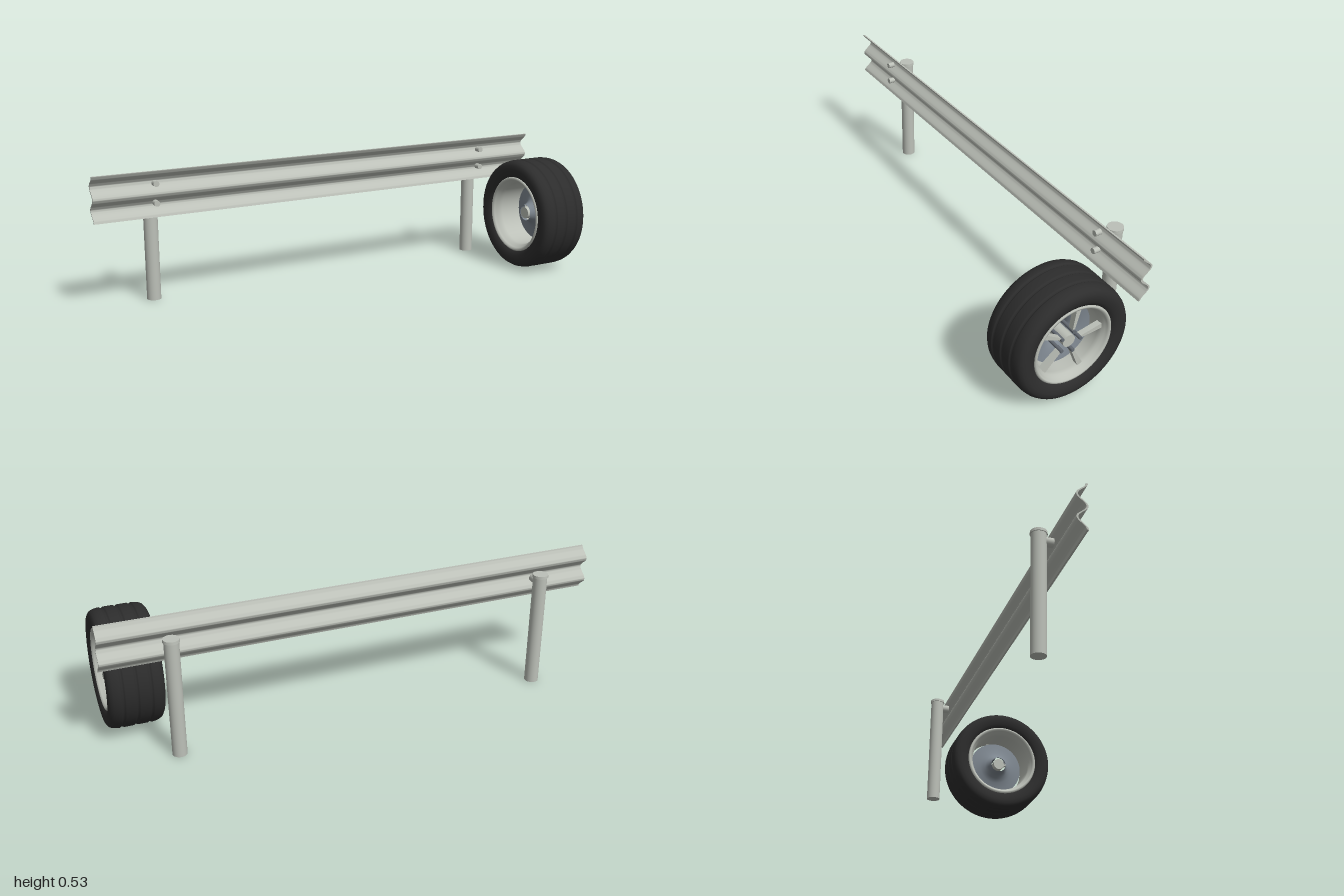
import * as THREE from 'three';
import { toCreasedNormals } from 'three/addons/utils/BufferGeometryUtils.js';

const material = (name, color, side = THREE.FrontSide) => {
  const m = new THREE.MeshStandardMaterial({ color, side });
  m.name = name;
  return m;
};

export function createModel() {
  const metal = material('galvanised grey', 0xbcc0b8, THREE.DoubleSide);
  const rubber = material('rubber black', 0x2d2d2d);
  const steel = material('blue grey steel', 0x7e8790, THREE.DoubleSide);
  const boltSteel = material('dark bolt steel', 0x646a72);

  const model = new THREE.Group();
  model.name = 'guardRailWithWheel';

  const add = (parent, name, geometry, mat, x = 0, y = 0, z = 0) => {
    const mesh = new THREE.Mesh(geometry, mat);
    mesh.name = name;
    mesh.position.set(x, y, z);
    parent.add(mesh);
    return mesh;
  };
  // Cylinder and lathe with their axis along z
  const rod = (r, length, sides = 24) =>
    new THREE.CylinderGeometry(r, r, length, sides).rotateX(Math.PI / 2);
  const lathe = (points, sides = 72) =>
    new THREE.LatheGeometry(points.map(([r, z]) => new THREE.Vector2(r, z)), sides).rotateX(Math.PI / 2);

  // Rail: wavy sheet swept along x
  const front = [], back = [];
  const steps = 48, bottom = 0.352, height = 0.181;
  for (let i = 0; i <= steps; i++) {
    const t = i / steps;
    const z = -0.1905 + 0.018 * Math.cos(t * Math.PI * 4);
    const y = bottom + height * t;
    front.push(new THREE.Vector2(-z, y));
    back.unshift(new THREE.Vector2(-z + 0.007, y));
  }
  const railGeometry = new THREE.ExtrudeGeometry(new THREE.Shape([...front, ...back]),
    { depth: 2, bevelEnabled: false, steps: 1 });
  railGeometry.rotateY(Math.PI / 2).translate(-1, 0, 0);
  add(model, 'rail', toCreasedNormals(railGeometry, 0.7), metal);

  // Posts with caps, spacers and rail bolts
  for (const x of [-0.754, 0.747]) {
    const support = new THREE.Group();
    support.name = x < 0 ? 'rightSupport' : 'leftSupport';
    support.position.x = x;
    model.add(support);
    add(support, 'post', new THREE.CylinderGeometry(0.028, 0.028, 0.47, 32), metal, 0, 0.235, -0.2625);
    add(support, 'postCap', new THREE.CylinderGeometry(0.0305, 0.0315, 0.011, 32), metal, 0, 0.473, -0.2625);
    add(support, 'spacer', rod(0.0175, 0.035), metal, 0, 0.443, -0.2275);
    for (const y of [0.4825, 0.4055])
      add(support, 'railBolt', rod(0.0115, 0.026), metal, 0, y, -0.181);
  }

  // Wheel: built along z, then turned to face +x
  const wheel = new THREE.Group();
  wheel.name = 'wheel';
  wheel.position.set(0.8655, 0.2335, 0.062);
  wheel.rotation.y = Math.PI / 2;
  model.add(wheel);

  // Tyre: rounded shoulders and three tread grooves
  const side = [[0.157, 0.085], [0.163, 0.096], [0.178, 0.104], [0.197, 0.108],
    [0.212, 0.106], [0.223, 0.099], [0.229, 0.088], [0.232, 0.075]];
  const tread = [];
  for (const z of [-0.053, 0, 0.053])
    tread.push([0.2335, z - 0.009], [0.231, z - 0.005], [0.2265, z], [0.231, z + 0.005], [0.2335, z + 0.009]);
  const tyre = [...side.map(([r, z]) => [r, -z]), ...tread, ...side.slice().reverse()];
  add(wheel, 'tyre', lathe(tyre, 96), rubber);

  // Rim: open barrel with a rolled lip on both sides
  const lip = [[0.134, 0.06], [0.137, 0.075], [0.144, 0.082], [0.147, 0.092],
    [0.152, 0.099], [0.158, 0.099], [0.162, 0.094], [0.158, 0.084]];
  const rim = [...lip.slice().reverse().map(([r, z]) => [r, -z]), ...lip];
  add(wheel, 'rim', lathe(rim), metal);

  // Dished brake disc and hub
  add(wheel, 'brakeDisc', lathe([[0.123, 0.024], [0.1, 0.02], [0.075, 0.014], [0.055, 0.004], [0.042, -0.012], [0.034, -0.035]]), steel);
  add(wheel, 'hub', rod(0.025, 0.11, 32), metal, 0, 0, 0.015);

  // Five skewed, tapering spokes with a bolt at each root
  const spokeGeometry = new THREE.ExtrudeGeometry(new THREE.Shape([
    new THREE.Vector2(0.043, -0.004), new THREE.Vector2(0.147, 0.002),
    new THREE.Vector2(0.145, 0.024), new THREE.Vector2(0.043, 0.005),
  ]), { depth: 0.022, bevelEnabled: false });
  for (let i = 0; i < 5; i++) {
    const arm = new THREE.Group();
    arm.name = 'spokeArm';
    arm.rotation.z = (i * Math.PI * 2) / 5;
    wheel.add(arm);
    add(arm, 'spoke', spokeGeometry, metal, 0, 0, 0.052);
    add(arm, 'wheelBolt', rod(0.007, 0.08, 16), boltSteel, 0.043, 0, 0.04);
  }
  return model;
}
